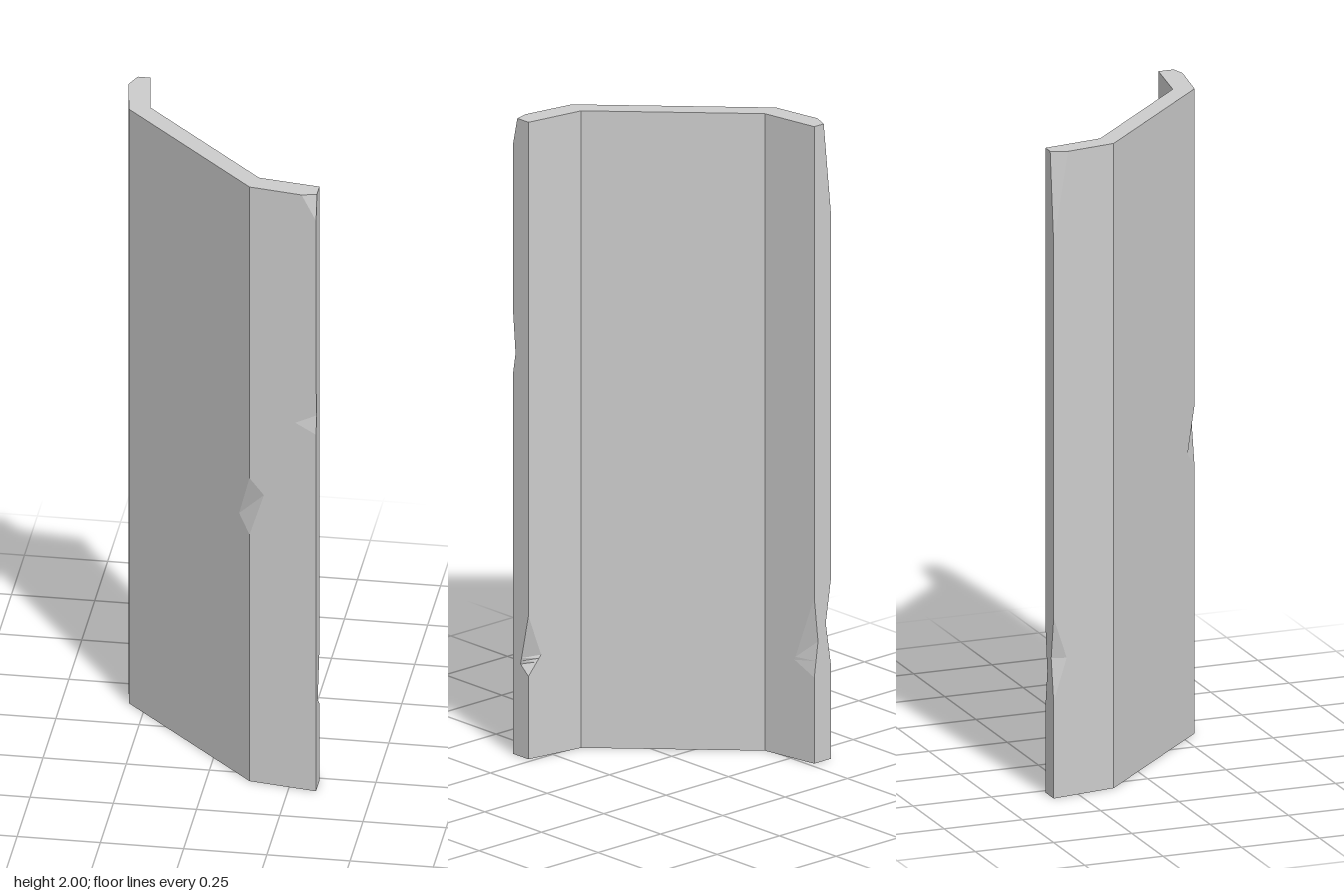
import * as THREE from 'three';

// Plan outline of the bent plate as (x, z): outer side first, then inner side
const corners = [
  [-0.334, -0.334], [-0.301, -0.129], [0.128, 0.3], [0.333, 0.333],
  [0.333, 0.266], [0.147, 0.238], [-0.239, -0.148], [-0.268, -0.334],
].map(([x, z]) => new THREE.Vector2(x, z));

// Chips on the vertical edges. prev / next: [height, distance cut along the neighbouring face]
const chips = [
  { corner: 0, y0: 1.72, y1: 2, prev: [2, 0.028], next: [2, 0.05] },
  { corner: 0, y0: 0.3, y1: 0.56, prev: [0.43, 0.02], next: [0.43, 0.045] },
  { corner: 2, y0: 0.83, y1: 1.02, prev: [0.88, 0.052], next: [0.97, 0.045] },
  { corner: 3, y0: 1.92, y1: 2, prev: [2, 0.045], next: [2, 0.018] },
  { corner: 3, y0: 1.2, y1: 1.38, prev: [1.23, 0.065], next: [1.26, 0.01] },
  { corner: 4, y0: 0.26, y1: 0.45, prev: [0.29, 0.035], next: [0.32, 0.045] },
  { corner: 7, y0: 0.27, y1: 0.52, prev: [0.31, 0.075], next: [0.38, 0.015] },
];

// Cut distance at height y: rises linearly to the peak and falls again
function cutAt(chip, [peakY, depth], y) {
  if (y < chip.y0 || y > chip.y1) return 0;
  if (y <= peakY) return depth * (y - chip.y0) / (peakY - chip.y0);
  return depth * (chip.y1 - y) / (chip.y1 - peakY);
}

// Cross-section at height y: every corner becomes two points, apart only where chipped
function section(y) {
  const n = corners.length;
  return corners.flatMap((c, i) => ['prev', 'next'].map((side) => {
    const neighbour = corners[(i + (side === 'prev' ? n - 1 : 1)) % n];
    const cut = chips.filter((k) => k.corner === i)
      .reduce((sum, k) => sum + cutAt(k, k[side], y), 0);
    const p = c.clone().add(neighbour.clone().sub(c).setLength(cut));
    return new THREE.Vector3(p.x, y, p.y);
  }));
}

function plateGeometry() {
  const levels = [...new Set([0, 2, ...chips.flatMap((k) => [k.y0, k.y1, k.prev[0], k.next[0]])])]
    .sort((a, b) => a - b);
  const rings = levels.map(section);
  const positions = [];
  const triangle = (a, b, c) => {
    const area = b.clone().sub(a).cross(c.clone().sub(a)).length();
    if (area > 1e-9) for (const v of [a, b, c]) positions.push(v.x, v.y, v.z);
  };

  // Walls between neighbouring sections
  for (let r = 0; r < rings.length - 1; r++) {
    const low = rings[r], high = rings[r + 1];
    for (let i = 0; i < low.length; i++) {
      const j = (i + 1) % low.length;
      triangle(low[i], low[j], high[j]);
      triangle(low[i], high[j], high[i]);
    }
  }

  // End caps, each triangle turned to face outwards
  for (const [ring, up] of [[rings[0], -1], [rings[rings.length - 1], 1]]) {
    const pts = ring.filter((p, i) => p.distanceTo(ring[(i + 1) % ring.length]) > 1e-6);
    const faces = THREE.ShapeUtils.triangulateShape(pts.map((p) => new THREE.Vector2(p.x, p.z)), []);
    for (const [a, b, c] of faces) {
      const normal = pts[b].clone().sub(pts[a]).cross(pts[c].clone().sub(pts[a]));
      if (normal.y * up > 0) triangle(pts[a], pts[b], pts[c]);
      else triangle(pts[a], pts[c], pts[b]);
    }
  }

  const geometry = new THREE.BufferGeometry();
  geometry.setAttribute('position', new THREE.Float32BufferAttribute(positions, 3));
  geometry.computeVertexNormals();
  return geometry;
}

export function createModel() {
  const group = new THREE.Group();
  group.name = 'chippedPlate';
  const material = new THREE.MeshStandardMaterial({ color: 0xcccccc, flatShading: true });
  const plate = new THREE.Mesh(plateGeometry(), material);
  plate.name = 'bentPlate';
  group.add(plate);
  return group;
}
